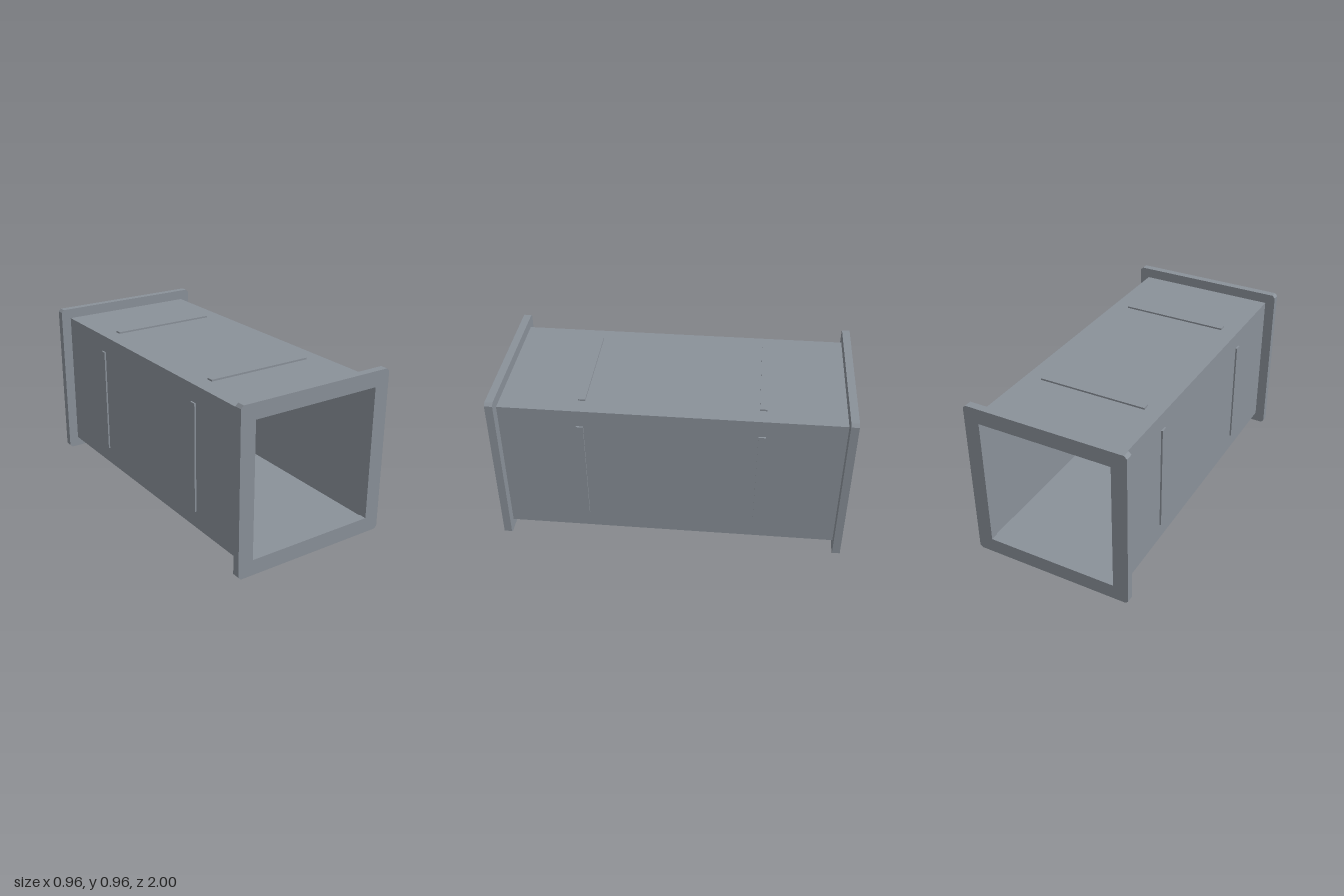
import * as THREE from 'three';

const steel = new THREE.MeshStandardMaterial({ color: 0x8a9199 });
steel.name = 'galvanised grey';

const CENTER_Y = 0.48;

// Square outline with optional chamfered corners
function squarePoints(half, chamfer = 0) {
  const h = half, c = half - chamfer;
  const pts = chamfer
    ? [[-c, -h], [c, -h], [h, -c], [h, c], [c, h], [-c, h], [-h, c], [-h, -c]]
    : [[-h, -h], [h, -h], [h, h], [-h, h]];
  return pts.map(([x, y]) => new THREE.Vector2(x, y));
}

// Square frame extruded along z, centred on the origin
function frameGeometry(outer, inner, depth, chamfer) {
  const shape = new THREE.Shape(squarePoints(outer, chamfer));
  shape.holes.push(new THREE.Path(squarePoints(inner).reverse()));
  const geometry = new THREE.ExtrudeGeometry(shape, { depth, bevelEnabled: false });
  return geometry.translate(0, 0, -depth / 2);
}

export function createModel() {
  const model = new THREE.Group();
  model.name = 'squareDuct';

  const add = (name, geometry, z = 0) => {
    const mesh = new THREE.Mesh(geometry, steel);
    mesh.name = name;
    mesh.position.set(0, CENTER_Y, z);
    model.add(mesh);
    return mesh;
  };

  // Thin-walled open tube
  add('ductWalls', frameGeometry(0.42, 0.41, 1.92));

  // Chamfered flanges at both ends
  const flange = frameGeometry(0.48, 0.39, 0.045, 0.016);
  add('frontFlange', flange, 0.9775);
  add('backFlange', flange, -0.9775);

  // Stiffening ribs, one per wall at two stations
  const rib = new THREE.BoxGeometry(0.64, 0.02, 0.04).translate(0, 0.42, 0);
  const sides = ['top', 'left', 'bottom', 'right'];
  for (const [station, z] of [['Front', 0.5], ['Back', -0.5]]) {
    sides.forEach((side, i) => {
      add(`${side}${station}Rib`, rib, z).rotation.z = -i * Math.PI / 2;
    });
  }

  return model;
}
